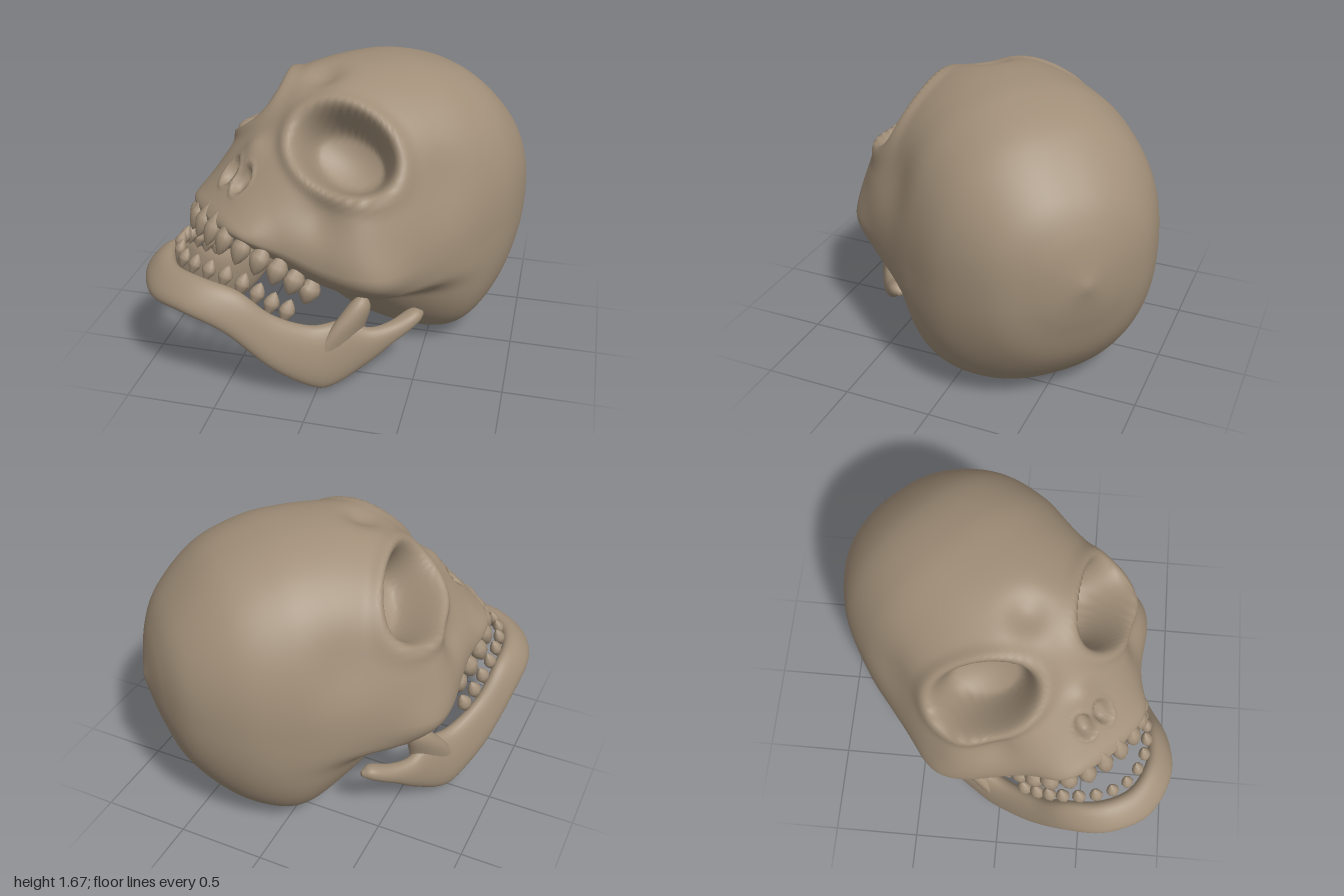
import * as THREE from 'three';

const V = (x, y, z) => new THREE.Vector3(x, y, z);
const bone = new THREE.MeshStandardMaterial({ color: 0xa08e78, side: THREE.DoubleSide });
bone.name = 'bone';

// Smooth skin over closed rings of points; the ends are closed by a centre point.
function loft(rings) {
  const n = rings[0].length, pos = [], idx = [];
  rings.forEach(r => r.forEach(p => pos.push(p.x, p.y, p.z)));
  for (let i = 0; i < rings.length - 1; i++) {
    for (let j = 0; j < n; j++) {
      const a = i * n + j, b = i * n + (j + 1) % n, c = a + n, d = b + n;
      idx.push(a, b, c, b, d, c);
    }
  }
  [0, rings.length - 1].forEach((k, end) => {
    const m = rings[k].reduce((s, p) => s.add(p), V(0, 0, 0)).divideScalar(n);
    const c = pos.push(m.x, m.y, m.z) / 3 - 1;
    for (let j = 0; j < n; j++) {
      const a = k * n + j, b = k * n + (j + 1) % n;
      if (end) idx.push(c, a, b); else idx.push(c, b, a);
    }
  });
  const g = new THREE.BufferGeometry();
  g.setAttribute('position', new THREE.Float32BufferAttribute(pos, 3));
  g.setIndex(idx);
  g.computeVertexNormals();
  return g;
}

const spline = pts => new THREE.CatmullRomCurve3(pts, false, 'catmullrom', 0.5);
const spow = (v, e) => Math.sign(v) * Math.pow(Math.abs(v), e);
const bell = (v, mid, w) => Math.exp(-Math.pow((v - mid) / w, 2));
const { smoothstep: smooth, lerp } = THREE.MathUtils;

// Bulge or dip: soft push by a vector around a centre
const push = (c, r, by) => p => p.addScaledVector(by, Math.exp(-p.distanceToSquared(c) / (r * r)));

// Hollow: an ellipse with centre c, outward normal n and long axis a.
function hollow(c, n, a, ru, rw, floor, rim) {
  n.normalize();
  a.addScaledVector(n, -a.dot(n)).normalize();
  const b = n.clone().cross(a);
  return p => {
    const d = p.clone().sub(c), h = d.dot(n);
    if (Math.abs(h) > 0.35) return;
    const r = Math.hypot(d.dot(a) / ru, d.dot(b) / rw);
    const k = 1 - smooth(r, 0.6, 1.0);
    p.addScaledVector(n, (floor * (1 - 0.5 * r * r) - h) * k + rim * bell(r, 1.1, 0.13));
  };
}

// Skull: z, top, bottom, half width, height of the widest point
const SKULL = [
  [-1.12, 0.89, 0.85, 0.02, 0.87], [-1.06, 1.14, 0.6, 0.26, 0.87], [-0.95, 1.33, 0.33, 0.46, 0.85],
  [-0.72, 1.54, 0.08, 0.63, 0.82], [-0.45, 1.64, 0.0, 0.71, 0.8], [-0.2, 1.665, 0.05, 0.745, 0.78],
  [0.03, 1.655, 0.2, 0.765, 0.77], [0.2, 1.62, 0.37, 0.75, 0.77], [0.35, 1.52, 0.5, 0.7, 0.78],
  [0.5, 1.36, 0.6, 0.55, 0.81], [0.65, 1.2, 0.73, 0.42, 0.88], [0.78, 1.06, 0.85, 0.33, 0.93],
  [0.84, 1.0, 0.91, 0.23, 0.95], [0.87, 0.96, 0.93, 0.04, 0.945],
];

const SHAPING = [
  push(V(0.7, 1.15, -0.16), 0.22, V(-0.04, 0, 0)),      // temple
  push(V(0, 1.64, 0.16), 0.11, V(0, -0.05, -0.02)),     // valley between the brows
  push(V(0, 1.27, 0.6), 0.09, V(0, 0.04, 0)),           // nose bridge
  push(V(0.62, 0.8, 0.44), 0.19, V(0.025, 0, 0.025)),   // cheek
  push(V(0.76, 0.7, 0.26), 0.17, V(0.05, 0, 0)),        // cheekbone
  push(V(0.5, 1.08, 0.48), 0.12, V(-0.025, -0.01, -0.025)),
  push(V(0, 0.66, 0.6), 0.2, V(0, 0.07, -0.04)),        // palate
  hollow(V(0.39, 1.33, 0.25), V(0.57, 0.62, 0.53), V(0.51, -0.24, -0.29), 0.32, 0.23, -0.24, 0.025),
  hollow(V(0.06, 1.15, 0.68), V(0.25, 0.6, 0.75), V(0, 0.7, -0.6), 0.09, 0.055, -0.04, 0.008),
];

function skullGeometry() {
  const upper = spline(SKULL.map(s => V(s[0], s[1], s[3])));
  const lower = spline(SKULL.map(s => V(s[0], s[2], s[4])));
  const rings = [], N = 150, M = 150;
  for (let i = 0; i <= N; i++) {
    const u = upper.getPoint(i / N), l = lower.getPoint(i / N), ring = [];
    const round = lerp(0.88, 1.0, smooth(u.x, -0.5, 0.3));
    for (let j = 0; j < M; j++) {
      const a = j / M * Math.PI * 2, c = Math.cos(a), s = Math.sin(a);
      // squarer base towards the back
      const e = s > 0 ? round : round - 0.18 * bell(u.x, -0.45, 0.24);
      const p = V(spow(c, e) * u.z, l.z + spow(s, e) * (s > 0 ? u.y - l.z : l.z - l.y), u.x);
      // shape one side and mirror
      const side = p.x < 0 ? -1 : 1;
      p.x = Math.abs(p.x);
      SHAPING.forEach(f => f(p));
      // recess below the cheekbone, where the jaw hangs
      p.x *= 1 - 0.16 * (1 - smooth(p.y, 0.48, 0.62)) * bell(p.z, 0.1, 0.3);
      p.x = Math.max(p.x, 0) * side;
      ring.push(p);
    }
    rings.push(ring);
  }
  return loft(rings);
}

// Lower jaw, chin to hinge: upper edge xyz, lower edge xyz, half thickness
const JAW = [
  [0, 0.72, 1.06, 0, 0.57, 1.215, 0.055], [0.19, 0.72, 1.0, 0.23, 0.57, 1.14, 0.055],
  [0.33, 0.67, 0.87, 0.37, 0.47, 0.98, 0.055], [0.42, 0.52, 0.72, 0.47, 0.23, 0.77, 0.055],
  [0.49, 0.42, 0.52, 0.53, 0.06, 0.55, 0.065], [0.55, 0.43, 0.34, 0.56, 0.05, 0.42, 0.065],
  [0.61, 0.37, 0.23, 0.6, 0.15, 0.24, 0.055], [0.64, 0.38, 0.1, 0.63, 0.25, 0.11, 0.05],
  [0.65, 0.425, -0.03, 0.65, 0.33, -0.02, 0.05], [0.65, 0.4, -0.09, 0.65, 0.37, -0.09, 0.015],
];

function jawGeometry() {
  const flip = r => [-r[0], r[1], r[2], -r[3], r[4], r[5], r[6]];
  const all = [...JAW.slice(1).reverse().map(flip), ...JAW];
  const top = spline(all.map(r => V(r[0], r[1], r[2])));
  const low = spline(all.map(r => V(r[3], r[4], r[5])));
  const thick = spline(all.map(r => V(r[6], 0, 0)));
  const rings = [], N = 110, M = 28;
  const mid = t => top.getPoint(t).add(low.getPoint(t)).multiplyScalar(0.5);
  for (let i = 0; i <= N; i++) {
    const t = i / N, c = mid(t), up = top.getPoint(t).sub(low.getPoint(t)).multiplyScalar(0.5);
    const dir = mid(Math.min(1, t + 0.004)).sub(mid(Math.max(0, t - 0.004)));
    const side = up.clone().cross(dir).normalize().multiplyScalar(thick.getPoint(t).x);
    rings.push(Array.from({ length: M }, (_, j) => {
      const a = j / M * Math.PI * 2;
      return c.clone().addScaledVector(up, spow(Math.sin(a), 0.9)).addScaledVector(side, spow(Math.cos(a), 0.9));
    }));
  }
  return loft(rings);
}

// Upright prong in front of the jaw hinge
function prongGeometry(side) {
  const path = spline([V(0.55, 0.22, 0.41), V(0.565, 0.38, 0.35), V(0.575, 0.49, 0.29), V(0.58, 0.57, 0.26)]);
  const rings = [];
  for (let i = 0; i <= 20; i++) {
    const t = i / 20, c = path.getPoint(t);
    const r = (0.15 - 0.1 * t) * Math.sqrt(1 - Math.pow(t, 6) * 0.98);
    rings.push(Array.from({ length: 20 }, (_, j) => {
      const a = -side * j / 20 * Math.PI * 2;
      return V(side * (c.x + Math.cos(a) * r * (0.2 + 0.7 * t)), c.y, c.z + Math.sin(a) * r);
    }));
  }
  return loft(rings);
}

// Leaf-shaped tooth with its tip at +y
const toothGeometry = new THREE.LatheGeometry(
  [[0, -1], [0.45, -0.65], [0.9, -0.15], [1, 0.1], [0.8, 0.45], [0.4, 0.8], [0, 1]]
    .map(p => new THREE.Vector2(...p)), 10);

// Row of teeth along a mirrored arch; size grows from front to back
function teeth(name, half, count, tip, size) {
  const row = new THREE.Group();
  row.name = name;
  const pts = half.map(p => V(...p));
  const arch = new THREE.CatmullRomCurve3(
    [...pts.slice(1).reverse().map(p => V(-p.x, p.y, p.z)), ...pts]);
  for (let i = 0; i < count; i++) {
    const t = (i + 0.5) / count, k = Math.abs(t - 0.5) * 2;
    const tooth = new THREE.Mesh(toothGeometry, bone);
    const tan = arch.getTangentAt(t), y = tip.clone().normalize();
    const x = tan.addScaledVector(y, -tan.dot(y)).normalize();
    tooth.quaternion.setFromRotationMatrix(new THREE.Matrix4().makeBasis(x, y, x.clone().cross(y)));
    tooth.position.copy(arch.getPointAt(t));
    const [w, h] = size(k);
    tooth.scale.set(w, h, w * 0.85);
    tooth.name = name + 'Tooth';
    row.add(tooth);
  }
  return row;
}

export function createModel() {
  const head = new THREE.Group();
  head.name = 'skull';
  const add = (name, geometry) => {
    const m = new THREE.Mesh(geometry, bone);
    m.name = name;
    head.add(m);
  };
  add('cranium', skullGeometry());
  add('lowerJaw', jawGeometry());
  add('leftJawProng', prongGeometry(1));
  add('rightJawProng', prongGeometry(-1));
  head.add(teeth('upperTeeth',
    [[0, 0.92, 0.87], [0.2, 0.9, 0.84], [0.33, 0.84, 0.75], [0.41, 0.71, 0.6], [0.45, 0.58, 0.46]],
    14, V(0, -0.86, 0.4), k => [0.05 + 0.014 * k, 0.11 - 0.02 * k]));
  head.add(teeth('lowerTeeth',
    [[0, 0.75, 1.02], [0.17, 0.75, 0.97], [0.31, 0.7, 0.85], [0.4, 0.56, 0.7], [0.44, 0.49, 0.6]],
    15, V(0, 0.88, -0.4), k => [0.036 + 0.01 * k, 0.06 + 0.015 * k]));
  head.rotation.y = -Math.PI / 4;
  const model = new THREE.Group();
  model.name = 'model';
  model.add(head);
  return model;
}
